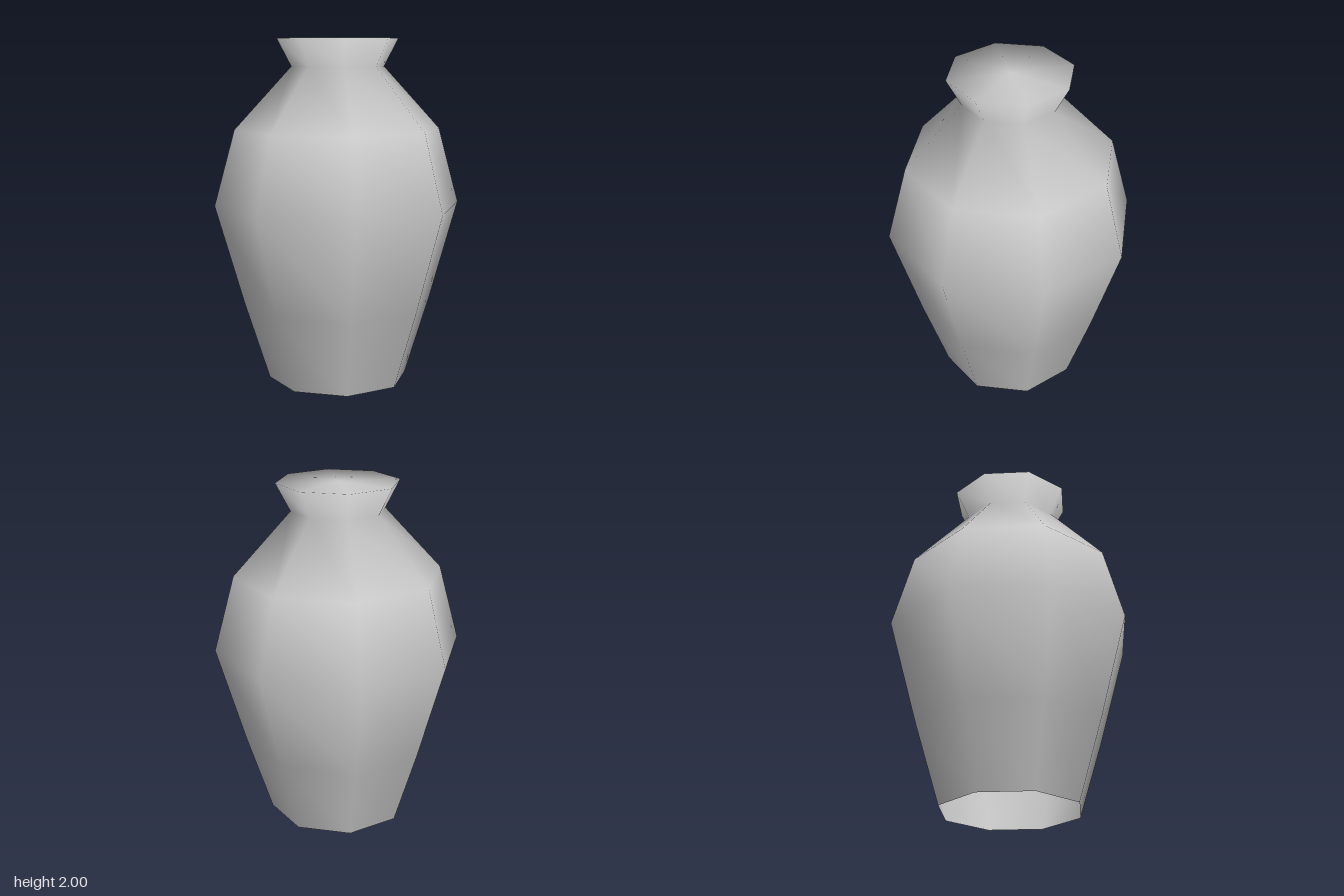
import * as THREE from 'three';

const SIDES = 8;

// Profile from foot to centre of the closed mouth: radius, height, then the soft normal (outward, up)
const PROFILE = [
  [0.41, 0.0, 0.95, -0.3],
  [0.555, 0.46, 0.96, -0.29],
  [0.72, 1.04, 1, 0],
  [0.6, 1.48, 0.87, 0.49],
  [0.27, 1.84, 0.99, 0.14],
  [0.353, 2.0, 0.94, 0.34],
  [0, 2.0, 0, 1],
];

export function createModel() {
  const group = new THREE.Group();
  group.name = 'vase';

  const clay = new THREE.MeshStandardMaterial({ color: 0xcccccc, side: THREE.DoubleSide });
  clay.name = 'grey clay';

  // Eight-sided body, open below, shaded smoothly across the rim
  const points = PROFILE.map(([r, y]) => new THREE.Vector2(r, y));
  const geometry = new THREE.LatheGeometry(points, SIDES);
  const normal = geometry.attributes.normal;
  for (let i = 0; i <= SIDES; i++) {
    const a = (i / SIDES) * Math.PI * 2;
    PROFILE.forEach(([, , out, up], j) => {
      const n = new THREE.Vector3(out * Math.sin(a), up, out * Math.cos(a)).normalize();
      normal.setXYZ(i * PROFILE.length + j, n.x, n.y, n.z);
    });
  }

  const body = new THREE.Mesh(geometry, clay);
  body.name = 'vaseBody';
  group.add(body);
  return group;
}
